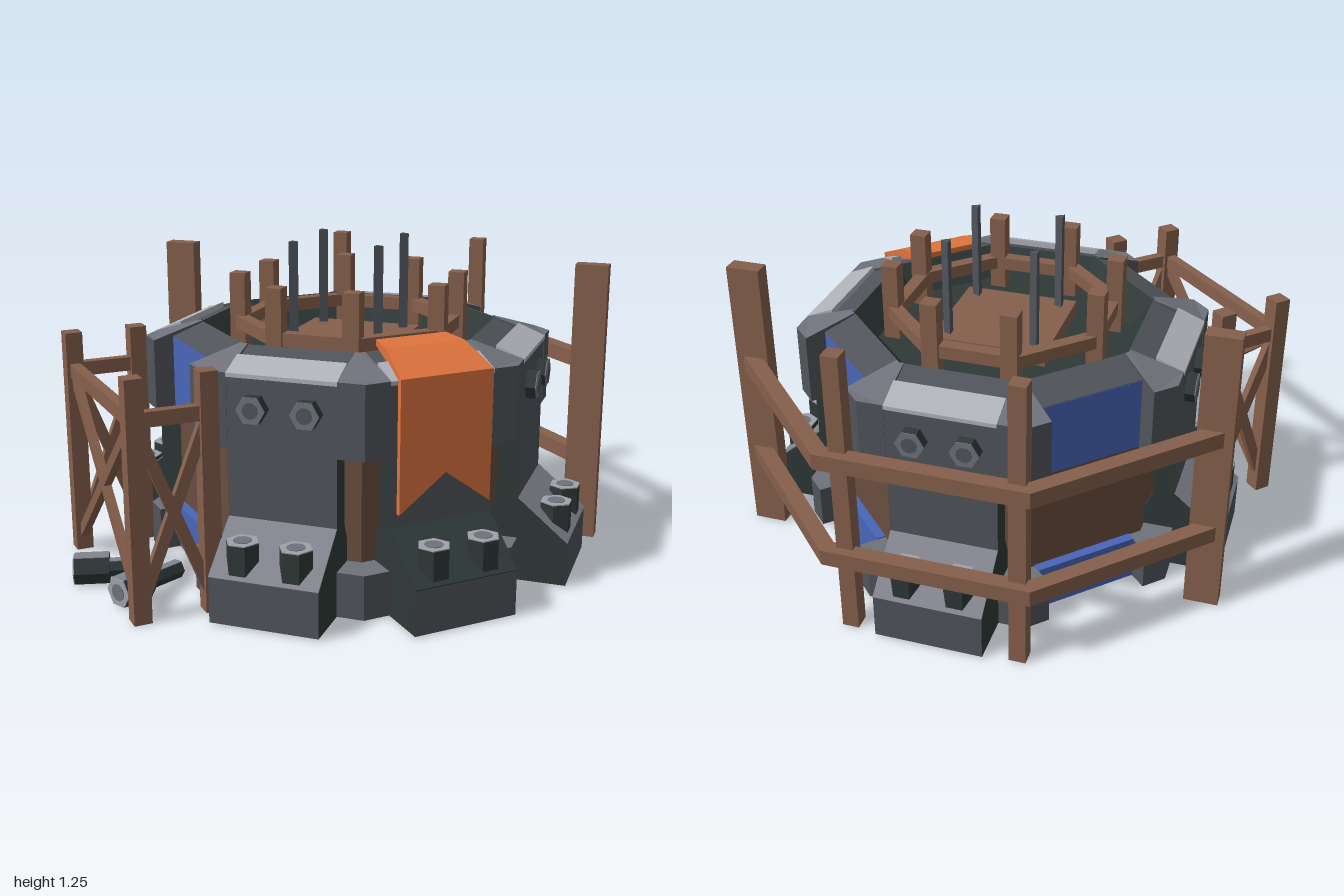
import * as THREE from 'three';

const mat = (name, color, side = THREE.FrontSide) => {
  const m = new THREE.MeshStandardMaterial({ color, flatShading: true, side });
  m.name = name;
  return m;
};
const C8 = Math.cos(Math.PI / 8);

export function createModel() {
  const stone = mat('light stone', 0x82838d);
  const mid = mat('mid stone', 0x70727b);
  const slate = mat('slate', 0x50545a);
  const pale = mat('pale metal', 0x9fa1a9);
  const plate = mat('light plate', 0xb0b2b8);
  const dark = mat('dark metal', 0x2e3937);
  const wood = mat('wood', 0x86604c);
  const coreWood = mat('core wood', 0x694d3e);
  const blue = mat('blue panel', 0x4866b8);
  const orange = mat('orange cloth', 0xe0733e, THREE.DoubleSide);

  const root = new THREE.Group();
  root.name = 'fortTower';
  const tower = new THREE.Group();
  tower.name = 'tower';
  tower.position.set(0.042, 0, -0.05);
  root.add(tower);

  const add = (parent, name, geo, m, x = 0, y = 0, z = 0) => {
    const mesh = new THREE.Mesh(geo, m);
    mesh.name = name;
    mesh.position.set(x, y, z);
    parent.add(mesh);
    return mesh;
  };
  const box = (parent, name, w, h, d, m, x, y, z) =>
    add(parent, name, new THREE.BoxGeometry(w, h, d), m, x, y, z);
  // Octagonal solid of [apothem, height] points
  const octagon = (name, pts, m) => add(tower, name, new THREE.LatheGeometry(
    pts.map(([a, y]) => new THREE.Vector2(a / C8, y)), 8, Math.PI / 8), m);
  // Square beam between two points
  const beam = (parent, name, a, b, w, h, extra = 0) => {
    const p = new THREE.Vector3(...a), q = new THREE.Vector3(...b);
    const mesh = box(parent, name, w, h, p.distanceTo(q) + extra, wood, 0, 0, 0);
    mesh.position.copy(p).add(q).multiplyScalar(0.5);
    mesh.lookAt(q);
  };
  // Profile of [outward, height] points, extruded sideways
  const profile = (pts, width) => {
    const g = new THREE.ExtrudeGeometry(new THREE.Shape(pts.map(p => new THREE.Vector2(...p))),
      { depth: width, bevelEnabled: false });
    return g.rotateY(-Math.PI / 2).translate(width / 2, 0, 0);
  };
  // Hex bolt pointing up, with a coloured face and a centre dot
  const bolt = (parent, r, h, face, centre) => {
    const g = new THREE.Group();
    g.name = 'hexBolt';
    const hex = (name, rad, y, len, m, n = 6) => add(g, name,
      new THREE.CylinderGeometry(rad, rad, len, n).rotateY(Math.PI / 2), m, 0, y, 0);
    hex('boltBody', r, h / 2, h, dark);
    hex('boltFace', r, h + 0.002, 0.004, face);
    hex('boltCentre', r * 0.55, h + 0.005, 0.003, centre, 10);
    parent.add(g);
    return g;
  };

  // Raised floor, core, rim and sunken roof
  octagon('floor', [[0, 0.155], [0.612, 0.155], [0.612, 0.17]], stone);
  octagon('woodCore', [[0, 0.16], [0.625, 0.16], [0.625, 0.62], [0, 0.62]], coreWood);
  octagon('rim', [[0, 0.6], [0.66, 0.6], [0.66, 0.885], [0.535, 0.93]], slate);
  octagon('sunkenRoof', [[0.535, 0.93], [0.455, 0.82], [0, 0.82]], dark);

  // Corner brackets wrapping each octagon corner
  const onFace = (k, n, t) => {
    const a = k * Math.PI / 4;
    return new THREE.Vector2(n * Math.sin(a) + t * Math.cos(a), -(n * Math.cos(a) - t * Math.sin(a)));
  };
  const bracket = (inner, y0, y1, rise) => {
    const tan = Math.tan(Math.PI / 8);
    const pts = [onFace(0, inner, 0.205), onFace(0, 0.74, 0.205), onFace(0, 0.74, 0.74 * tan),
      onFace(1, 0.74, -0.205), onFace(1, inner, -0.205), onFace(0, inner, inner * tan)];
    const g = new THREE.ExtrudeGeometry(new THREE.Shape(pts), { depth: y1 - y0, bevelEnabled: false });
    g.rotateX(-Math.PI / 2).translate(0, y0, 0);
    const p = g.attributes.position;
    for (let i = 0; i < p.count; i++) {
      if (p.getY(i) > y1 - 0.001 && Math.hypot(p.getX(i), p.getZ(i)) < 0.7) p.setY(i, y1 + rise);
    }
    return g;
  };
  const upper = bracket(0.54, 0.6, 0.875, 0.06), lower = bracket(0.61, 0.01, 0.18, 0);
  for (let k = 0; k < 8; k++) {
    add(tower, 'upperBracket', upper, [mid, slate]).rotation.y = k * Math.PI / 4;
    add(tower, 'lowerBracket', lower, [mid, slate]).rotation.y = k * Math.PI / 4;
  }

  // Buttress: a bent skin, open below, between two dark cheeks
  const skinGeo = profile([[0.93, 0.01], [0.93, 0.18], [0.738, 0.34], [0.738, 0.865], [0.655, 0.9],
    [0.655, 0.335], [0.72, 0.325], [0.912, 0.17], [0.912, 0.01]], 0.39);
  const cheekGeo = profile([[0.6, 0.01], [0.93, 0.01], [0.93, 0.18], [0.738, 0.34],
    [0.738, 0.865], [0.655, 0.9], [0.655, 0.33], [0.6, 0.2]], 0.012);
  const slopeGeo = profile([[0.93, 0.18], [0.932, 0.184], [0.74, 0.344], [0.738, 0.34]], 0.411);
  const plateGeo = profile([[0.742, 0.86], [0.742, 0.875], [0.635, 0.918], [0.635, 0.895]], 0.412);

  // Each side carries a buttress or a pair of blue panels
  for (let k = 0; k < 8; k++) {
    const side = new THREE.Group();
    side.rotation.y = k * Math.PI / 4;
    tower.add(side);
    if (k === 3 || k === 5 || k === 7) {
      side.name = 'panelSide';
      box(side, 'upperBluePanel', 0.41, 0.278, 0.02, blue, 0, 0.744, 0.652);
      box(side, 'lowerBluePanel', 0.41, 0.175, 0.045, blue, 0, 0.0975, 0.6395);
      continue;
    }
    side.name = 'buttressSide';
    add(side, 'buttressSkin', skinGeo, slate);
    for (const x of [-0.199, 0.199]) add(side, 'buttressCheek', cheekGeo, [dark, slate], x);
    add(side, 'buttressSlope', slopeGeo, k === 1 ? dark : stone);
    add(side, 'buttressCap', plateGeo, plate);
    for (const x of [-0.1, 0.1]) {
      bolt(side, 0.062, 0.18, pale, mid).position.set(x, 0.125, 0.865);
      if (k === 1) continue;
      const b = bolt(side, 0.055, 0.05, mid, slate);
      b.position.set(x, 0.755, 0.725);
      b.rotation.x = Math.PI / 2;
    }
    if (k === 1) {
      // Banner: flared top sheet and a swallow-tailed drop
      const top = profile([[0.505, 0.945], [0.768, 0.868], [0.768, 0.885], [0.61, 0.957], [0.505, 0.967]], 0.37);
      const p = top.attributes.position;
      for (let i = 0; i < p.count; i++) p.setX(i, p.getX(i) * (0.78 + 0.22 * (p.getZ(i) - 0.505) / 0.263));
      top.computeVertexNormals();
      add(side, 'bannerTop', top, orange);
      const s = new THREE.Shape([[-0.185, 0.885], [-0.185, 0.395], [0, 0.53], [0.185, 0.395], [0.185, 0.885]]
        .map(q => new THREE.Vector2(...q)));
      add(side, 'bannerDrop', new THREE.ExtrudeGeometry(s, { depth: 0.02, bevelEnabled: false }), orange, 0, 0, 0.748);
    }
  }

  // Roof railing, platform and rods
  for (let k = 0; k < 8; k++) {
    const g = new THREE.Group();
    g.name = 'roofRail';
    g.rotation.y = k * Math.PI / 4;
    tower.add(g);
    box(g, 'railBeam', 0.33, 0.05, 0.05, wood, 0, 0.927, 0.392);
  }
  for (const sx of [-1, 1]) for (const sz of [-1, 1]) {
    box(tower, 'railPost', 0.063, 0.3, 0.063, wood, sx * 0.4, 0.97, sz * 0.15);
    box(tower, 'railPost', 0.063, 0.3, 0.063, wood, sx * 0.15, 0.97, sz * 0.4);
    add(tower, 'rod', new THREE.CylinderGeometry(0.021, 0.021, 0.43, 3).rotateY(Math.PI / 2),
      slate, sx * 0.17, 1.04, sz * 0.17);
  }
  box(tower, 'platform', 0.45, 0.06, 0.45, wood, 0, 0.845, 0);

  // Rear scaffold
  const rear = new THREE.Group();
  rear.name = 'rearScaffold';
  root.add(rear);
  for (const x of [-0.288, 0.352]) box(rear, 'rearPost', 0.063, 1.135, 0.063, wood, x, 0.573, -0.93);
  for (const x of [-0.852, 0.935]) box(rear, 'endPost', 0.13, 1.135, 0.065, wood, x, 0.573, -0.417);
  for (const y of [0.33, 0.738]) {
    const path = [[-0.862, y, -0.43], [-0.332, y, -0.966], [0.418, y, -0.966], [0.948, y, -0.43]];
    for (let i = 0; i < 3; i++) beam(rear, 'rearRail', path[i], path[i + 1], 0.06, 0.062, 0.024);
  }

  // Side scaffold with crossed braces
  const frame = new THREE.Group();
  frame.name = 'sideScaffold';
  root.add(frame);
  const feet = [[-0.768, 0.207], [-0.95, 0.39], [-0.4, 0.943], [-0.207, 0.76]];
  feet.forEach(([x, z], i) => {
    box(frame, 'scaffoldPost', 0.066, 0.895, 0.066, wood, x, 0.4525, z).rotation.y = Math.PI / 4;
    if (i === 3) return;
    const [u, v] = feet[i + 1];
    beam(frame, 'scaffoldRail', [x, 0.75, z], [u, 0.75, v], 0.04, 0.055);
    beam(frame, 'brace', [x, 0.06, z], [u, 0.74, v], 0.03, 0.042);
    beam(frame, 'brace', [x, 0.74, z], [u, 0.06, v], 0.03, 0.042);
  });

  // Loose bolts lying on the ground, with a worn upper facet
  for (const [hx, hz, ex, ez] of [[-0.79, 0.725, -0.53, 0.6], [-0.53, 0.86, -0.43, 0.61]]) {
    const g = new THREE.Group();
    g.name = 'looseBolt';
    root.add(g);
    bolt(g, 0.06, 0.13, pale, mid).position.y = -0.13;
    add(g, 'boltShaft', new THREE.CylinderGeometry(0.035, 0.035, 0.28, 6).rotateY(Math.PI / 2), dark, 0, -0.15, 0);
    box(g, 'headFacet', 0.06, 0.13, 0.004, stone, 0, -0.065, -0.052);
    box(g, 'shaftFacet', 0.035, 0.16, 0.004, stone, 0, -0.21, -0.0305);
    g.position.set(hx, 0.062, hz);
    g.rotation.set(Math.PI / 2, Math.atan2(hx - ex, hz - ez), 0, 'YXZ');
  }
  return root;
}
